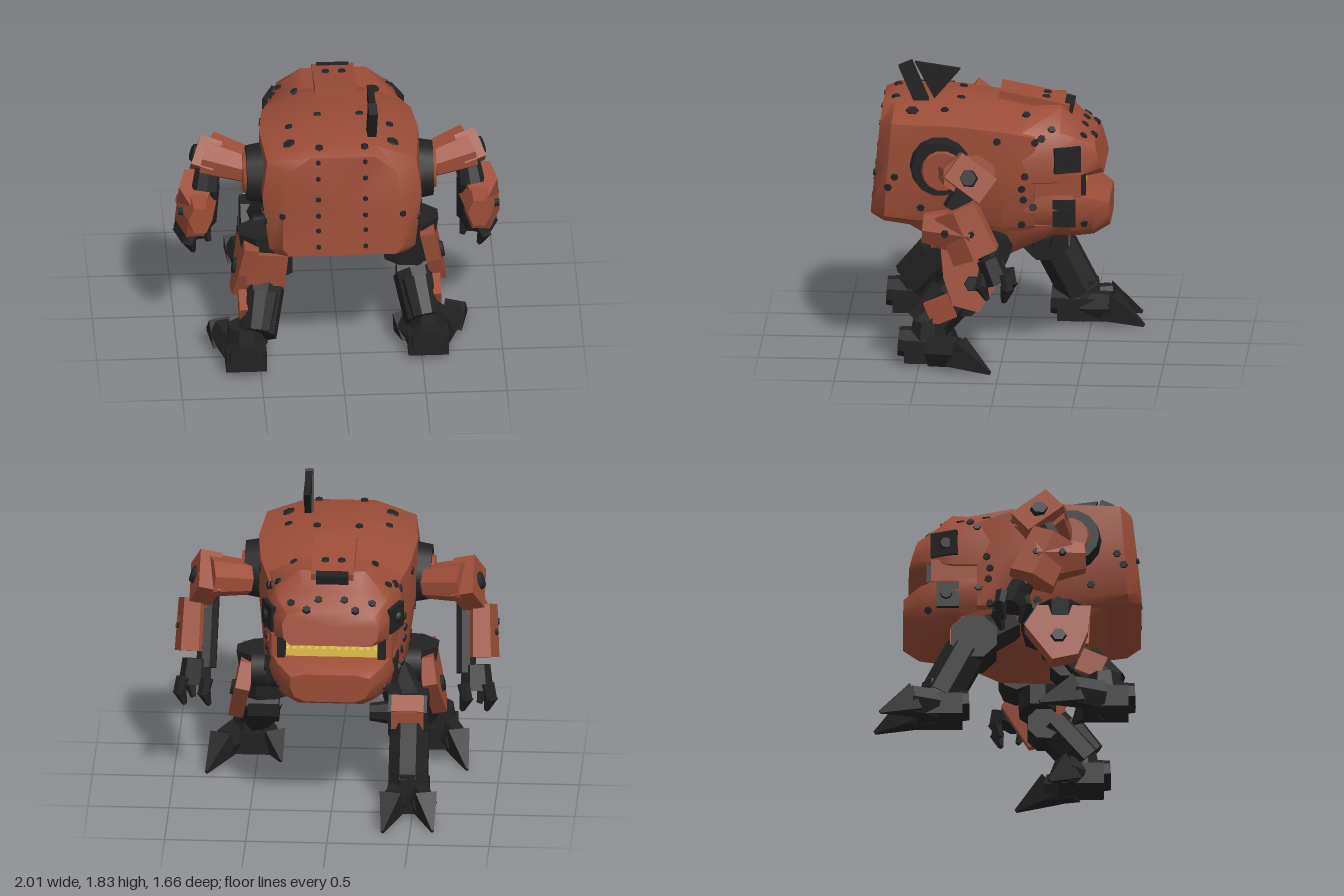
import * as THREE from 'three';
import { toCreasedNormals } from 'three/addons/utils/BufferGeometryUtils.js';

const paint = (name, color) => Object.assign(new THREE.MeshStandardMaterial({ color }), { name });
const V = (p) => new THREE.Vector3(...p);

export function createModel() {
  const rust = paint('rust red armour', 0x9b4d37);
  const dark = paint('dark metal', 0x222223);
  const glow = paint('amber grille', 0xf2cb50);
  const model = new THREE.Group();
  model.name = 'walker';

  const group = (name, parent = model) => {
    const g = new THREE.Group();
    g.name = name;
    parent.add(g);
    return g;
  };
  const add = (parent, name, geo, mat, pos = [0, 0, 0], rot = [0, 0, 0]) => {
    const m = new THREE.Mesh(geo, mat);
    m.name = name;
    m.position.set(...pos);
    m.rotation.set(...rot);
    parent.add(m);
    return m;
  };
  const box = (parent, name, mat, size, pos, rot) => add(parent, name, new THREE.BoxGeometry(...size), mat, pos, rot);

  // Tapered prism from a to b; ha and hb are half widths, sx and sy stretch the section
  const limb = (parent, name, mat, a, b, ha, hb, sx = 1, sy = 1, n = 8) => {
    const k = 1 / Math.cos(Math.PI / n);
    const geo = new THREE.CylinderGeometry(hb * k, ha * k, V(a).distanceTo(V(b)), n)
      .rotateY(Math.PI / n).rotateX(Math.PI / 2).scale(sx, sy, 1);
    const m = new THREE.Mesh(toCreasedNormals(geo, 0.6), mat);
    m.name = name;
    m.position.copy(V(a).lerp(V(b), 0.5));
    m.lookAt(V(b));
    parent.add(m);
    return m;
  };

  // Flat plate seen from the side: outline in [z, y], thickness along +x
  const sidePlate = (parent, name, mat, outline, depth, pos, tilt = 0) => {
    const shape = new THREE.Shape(outline.map(([z, y]) => new THREE.Vector2(-z, y)));
    const geo = new THREE.ExtrudeGeometry(shape, { depth, bevelEnabled: false }).rotateY(Math.PI / 2);
    return add(parent, name, geo, mat, pos, [0, 0, tilt]);
  };

  // Hull lofted front to back: each section is [z, lean, half outline from top to bottom]
  const loft = (name, sections) => {
    const rings = sections.map(([z, lean, half]) => {
      const pts = half.map(([x, y]) => [x, y, z + lean * (1.25 - y)]);
      return [...pts, ...pts.map(([x, y, d]) => [-x, y, d]).reverse()];
    });
    const out = [];
    const n = rings[0].length;
    const centre = (r) => [0, 1, 2].map((i) => r.reduce((s, p) => s + p[i], 0) / n);
    const first = rings[0], last = rings[rings.length - 1];
    for (let k = 0; k < n; k++) {
      const q = (k + 1) % n;
      for (let i = 0; i + 1 < rings.length; i++) {
        const [r, s] = [rings[i], rings[i + 1]];
        out.push(r[k], r[q], s[k], r[q], s[q], s[k]);
      }
      out.push(centre(first), first[q], first[k], centre(last), last[k], last[q]);
    }
    const geo = new THREE.BufferGeometry();
    geo.setAttribute('position', new THREE.Float32BufferAttribute(out.flat(), 3));
    return add(hull, name, toCreasedNormals(geo, 0.75), rust);
  };

  // Hull
  const hull = group('hull');
  loft('body', [
    [0.78, 0.1, [[0.2, 1.56], [0.33, 1.46], [0.37, 1.2], [0.37, 0.95], [0.33, 0.9]]],
    [0.7, 0.08, [[0.22, 1.59], [0.46, 1.5], [0.49, 1.25], [0.45, 0.91], [0.4, 0.87]]],
    [0.3, 0, [[0.2, 1.59], [0.49, 1.5], [0.49, 1.2], [0.44, 0.86], [0.38, 0.8]]],
    [0, 0, [[0.2, 1.55], [0.46, 1.46], [0.47, 1.2], [0.44, 0.85], [0.36, 0.76]]],
    [-0.2, 0, [[0.2, 1.5], [0.4, 1.41], [0.41, 1.15], [0.4, 0.85], [0.28, 0.76]]],
  ]);
  loft('belly', [
    [0.6, 0, [[0.3, 0.88], [0.4, 0.87], [0.39, 0.86], [0.36, 0.85], [0.28, 0.84]]],
    [0.3, 0, [[0.3, 0.88], [0.42, 0.85], [0.39, 0.76], [0.34, 0.67], [0.28, 0.635]]],
    [-0.05, 0, [[0.3, 0.88], [0.41, 0.85], [0.38, 0.76], [0.33, 0.67], [0.26, 0.635]]],
    [-0.32, 0, [[0.3, 0.86], [0.36, 0.84], [0.34, 0.8], [0.28, 0.77], [0.2, 0.75]]],
  ]);
  loft('head', [
    [-0.12, 0, [[0.2, 1.54], [0.4, 1.44], [0.43, 1.27], [0.42, 1.12], [0.3, 1.06]]],
    [-0.35, 0, [[0.2, 1.55], [0.35, 1.43], [0.42, 1.3], [0.4, 1.13], [0.3, 1.1]]],
    [-0.44, 0, [[0.18, 1.45], [0.34, 1.4], [0.38, 1.3], [0.37, 1.15], [0.3, 1.13]]],
    [-0.59, -0.3, [[0.15, 1.37], [0.27, 1.34], [0.3, 1.28], [0.29, 1.2], [0.25, 1.16]]],
  ]);
  loft('jaw', [
    [-0.12, 0, [[0.3, 1.1], [0.4, 1.06], [0.42, 0.95], [0.36, 0.82], [0.25, 0.76]]],
    [-0.42, 0, [[0.3, 1.05], [0.38, 1.04], [0.4, 0.95], [0.34, 0.8], [0.22, 0.74]]],
    [-0.55, 0, [[0.25, 1.03], [0.33, 1.01], [0.34, 0.93], [0.29, 0.8], [0.2, 0.75]]],
    [-0.65, 0, [[0.16, 0.98], [0.24, 0.96], [0.25, 0.9], [0.22, 0.83], [0.15, 0.8]]],
  ]);
  box(hull, 'roofHood', rust, [0.26, 0.05, 0.44], [0, 1.567, -0.18], [-0.2, 0, 0]);
  box(hull, 'hoodWindow', dark, [0.2, 0.06, 0.06], [0, 1.52, -0.39], [-0.2, 0, 0]);

  // Rivets are dropped on to the hull along a ray
  model.updateMatrixWorld(true);
  const armour = [...hull.children];
  const ray = new THREE.Raycaster();
  const rivets = group('rivets');
  const rivet = (from, dir, r = 0.023) => {
    ray.set(V(from), V(dir));
    const hit = ray.intersectObjects(armour)[0];
    if (!hit) return;
    const m = add(rivets, 'rivet', new THREE.CylinderGeometry(r * 0.8, r, 0.02, 6), dark, hit.point.toArray());
    m.quaternion.setFromUnitVectors(V([0, 1, 0]), hit.face.normal);
  };
  for (const y of [1.53, 1.42, 1.28, 1.17, 1.07, 0.96])
    for (const x of [-0.15, 0.14]) rivet([x, y, 3], [0, 0, -1], 0.019);
  for (const s of [-1, 1]) {
    rivet([s * 0.37, 1.17, 3], [0, 0, -1]);
    for (const [z, y] of [[0.7, 1.1], [0.66, 1.17], [0.03, 1.4], [-0.2, 1.38], [-0.14, 1.17], [-0.12, 1.09],
      [-0.13, 1.02], [-0.19, 0.97], [-0.12, 0.86], [0.5, 0.97], [0.3, 0.87], [0.17, 0.87], [-0.5, 0.85]])
      rivet([s * 3, y, z], [-s, 0, 0], 0.028);
    for (const [x, z] of [[0.13, 0.27], [0.31, 0.36], [0.14, 0.67], [0.25, -0.14], [0.38, -0.24], [0.34, -0.3],
      [0.25, -0.49], [0.15, -0.55], [0.08, -0.49], [0.05, -0.25]])
      rivet([s * x, 3, z], [0, -1, 0], 0.029);
    rivet([s * 0.32, 3, 0.56], [0, -1, 0], 0.046);
    // Square side hatches with round bosses, cheeks and mouth posts
    box(hull, 'eyeHatch', dark, [0.03, 0.16, 0.17], [s * 0.39, 1.27, -0.4], [0, s * 0.4, 0]);
    box(hull, 'jawHatch', dark, [0.03, 0.17, 0.14], [s * 0.39, 0.93, -0.38]);
    for (const y of [1.27, 0.93])
      add(hull, 'hatchBoss', new THREE.CylinderGeometry(0.035, 0.045, 0.04, 8), dark, [s * 0.4, y, -0.39], [0, 0, -s * Math.PI / 2]);
    box(hull, 'cheek', rust, [0.08, 0.15, 0.38], [s * 0.35, 1.1, -0.29], [0, s * 0.1, 0]);
    box(hull, 'mouthPost', dark, [0.05, 0.14, 0.1], [s * 0.31, 1.1, -0.46]);
  }

  // Mouth with a glowing grille
  box(hull, 'mouthCavity', dark, [0.66, 0.2, 0.32], [0, 1.1, -0.25]);
  for (const [y, z] of [[1.06, -0.455], [1.13, -0.445]])
    box(hull, 'grilleBar', glow, [0.56, 0.055, 0.08], [0, y, z]);
  for (let i = 0; i < 12; i++)
    box(hull, 'grilleTooth', glow, [0.022, 0.03, 0.03], [-0.25 + i * 0.0455, 1.095, -0.48]);

  // Roof mast and fin
  limb(hull, 'mast', dark, [0.19, 1.56, 0.5], [0.195, 1.82, 0.61], 0.045, 0.045, 0.6, 1, 4);
  sidePlate(hull, 'fin', dark, [[0.55, 1.83], [0.43, 1.6], [0.27, 1.79]], 0.04, [0.175, 0, 0]);

  // Arms, built on +x and mirrored
  for (const s of [1, -1]) {
    const arm = group(s > 0 ? 'leftArm' : 'rightArm');
    add(arm, 'shoulderDisc', new THREE.CylinderGeometry(0.17, 0.19, 0.11, 14), dark, [0.52, 1.25, 0.38], [0, 0, -Math.PI / 2]);
    add(arm, 'shoulderCap', new THREE.CylinderGeometry(0.12, 0.135, 0.03, 14), rust, [0.58, 1.24, 0.36], [0, 0, -Math.PI / 2]);
    limb(arm, 'upperArm', rust, [0.56, 1.235, 0.26], [0.8, 1.28, 0.18], 0.095, 0.12, 1.35);
    box(arm, 'shoulderPlate', rust, [0.14, 0.19, 0.27], [0.81, 1.265, 0.18], [-0.65, 0, 0.35]);
    add(arm, 'plateBolt', new THREE.CylinderGeometry(0.05, 0.06, 0.03, 6), dark, [0.885, 1.285, 0.18], [0, 0, -Math.PI / 2 + 0.35]);
    limb(arm, 'elbow', dark, [0.8, 1.19, 0.2], [0.82, 1.06, 0.26], 0.07, 0.08);
    limb(arm, 'forearmCore', dark, [0.79, 1.12, 0.24], [0.8, 0.72, 0.04], 0.06, 0.06);
    limb(arm, 'forearmArmour', rust, [0.88, 1.09, 0.26], [0.89, 0.79, 0.13], 0.11, 0.12, 0.8, 1.2, 6);
    limb(arm, 'forearmFlap', rust, [0.87, 0.94, 0.16], [0.86, 0.96, 0.46], 0.15, 0.085, 0.75, 1, 6);
    for (const z of [0.32, 0.16])
      add(arm, 'armBolt', new THREE.CylinderGeometry(0.02, 0.025, 0.03, 6), dark, [0.975, 0.95, z], [0, 0, -Math.PI / 2]);
    limb(arm, 'palm', dark, [0.86, 0.77, 0.06], [0.87, 0.62, 0.0], 0.07, 0.08, 1.1, 0.9, 6);
    for (const [x, z, dx] of [[0.79, -0.06, 0], [0.94, -0.05, 0], [0.87, 0.08, 0.02]]) {
      limb(arm, 'finger', dark, [x, 0.69, z], [x + dx + 0.02, 0.6, z * 1.3], 0.035, 0.032, 1, 1, 6);
      limb(arm, 'claw', dark, [x + dx + 0.02, 0.61, z * 1.3], [x + dx - 0.01, 0.51, z * 0.8], 0.032, 0.012, 1, 1, 4);
    }
    arm.scale.x = s;
  }

  // Foot with a heel and two splayed claws; tips holds [x, z] of each claw point
  const foot = (parent, [x, z], tips) => {
    box(parent, 'sole', dark, [0.25, 0.14, 0.28], [x, 0.1, z]);
    limb(parent, 'ankle', dark, [x, 0.12, z], [x, 0.28, z - 0.01], 0.12, 0.1);
    limb(parent, 'heel', dark, [x, 0.13, z], [x, 0.14, z + 0.18], 0.11, 0.09, 1.1, 0.9);
    for (const [tx, tz] of tips) {
      const mx = x + (tx - x) * 0.65, mz = z + (tz - z) * 0.5;
      limb(parent, 'toe', dark, [x + (tx - x) * 0.35, 0.11, z - 0.02], [mx, 0.12, mz], 0.08, 0.075, 0.9, 1.15, 6);
      limb(parent, 'toeClaw', dark, [mx, 0.125, mz + 0.02], [tx, 0.015, tz], 0.075, 0.008, 0.9, 1.2, 4);
    }
  };

  // Two matching legs, built on +x and mirrored; the right one is set further forward
  for (const s of [1, -1]) {
    const leg = group(s > 0 ? 'leftLeg' : 'rightLeg');
    add(leg, 'hip', new THREE.CylinderGeometry(0.11, 0.11, 0.24, 8), dark, [0.4, 0.71, 0.05], [0, 0, Math.PI / 2]);
    limb(leg, 'hipBlock', dark, [0.45, 0.81, 0.18], [0.43, 0.5, 0.18], 0.13, 0.11, 1, 1.3);
    sidePlate(leg, 'thighArmour', rust,
      [[0.37, 0], [0.35, -0.2], [0.29, -0.37], [0.13, -0.41], [-0.04, -0.15], [0.04, 0]], 0.09, [0.5, 0.75, 0], 0.2);
    if (s < 0) box(leg, 'thighPlate', rust, [0.24, 0.22, 0.03], [0.45, 0.61, 0.345], [0.05, 0, 0.1]);
    add(leg, 'thighBolt', new THREE.CylinderGeometry(0.045, 0.055, 0.03, 6), dark, [0.64, 0.54, 0.17], [0, 0, 0.2 - Math.PI / 2]);
    limb(leg, 'knee', dark, [0.36, 0.41, 0.22], [0.55, 0.41, 0.22], 0.1, 0.1);
    limb(leg, 'shin', dark, [0.46, 0.44, 0.26], [0.52, 0.22, 0.47], 0.11, 0.11, 1.05, 1.1);
    limb(leg, 'calfGuard', dark, [0.48, 0.46, 0.37], [0.52, 0.28, 0.53], 0.07, 0.06, 1.3);
    box(leg, 'shinPatch', rust, [0.05, 0.15, 0.16], [0.6, 0.36, 0.37], [0.4, 0, 0]);
    foot(leg, s > 0 ? [0.54, 0.45] : [0.59, 0.46], [s > 0 ? [0.35, 0.25] : [0.48, 0.26], [0.8, 0.05]]);
    leg.scale.x = s;
    if (s < 0) leg.position.z = 0.13;
  }

  // Extra leg striding out under the head
  const stride = group('stridingLeg');
  limb(stride, 'hip', dark, [-0.36, 0.74, 0], [-0.46, 0.58, -0.22], 0.1, 0.12);
  limb(stride, 'knee', dark, [-0.34, 0.56, -0.22], [-0.58, 0.56, -0.22], 0.14, 0.14);
  limb(stride, 'kneeBolt', dark, [-0.22, 0.55, -0.2], [-0.36, 0.55, -0.2], 0.05, 0.07);
  limb(stride, 'shin', dark, [-0.47, 0.5, -0.27], [-0.47, 0.19, -0.43], 0.12, 0.12, 1, 1.05);
  box(stride, 'kneePatch', rust, [0.2, 0.11, 0.009], [-0.46, 0.565, -0.364]);
  box(stride, 'kneePatch', rust, [0.2, 0.11, 0.009], [-0.46, 0.662, -0.322], [Math.PI / 4, 0, 0]);
  foot(stride, [-0.47, -0.43], [[-0.64, -0.8], [-0.33, -0.83]]);

  return model;
}
